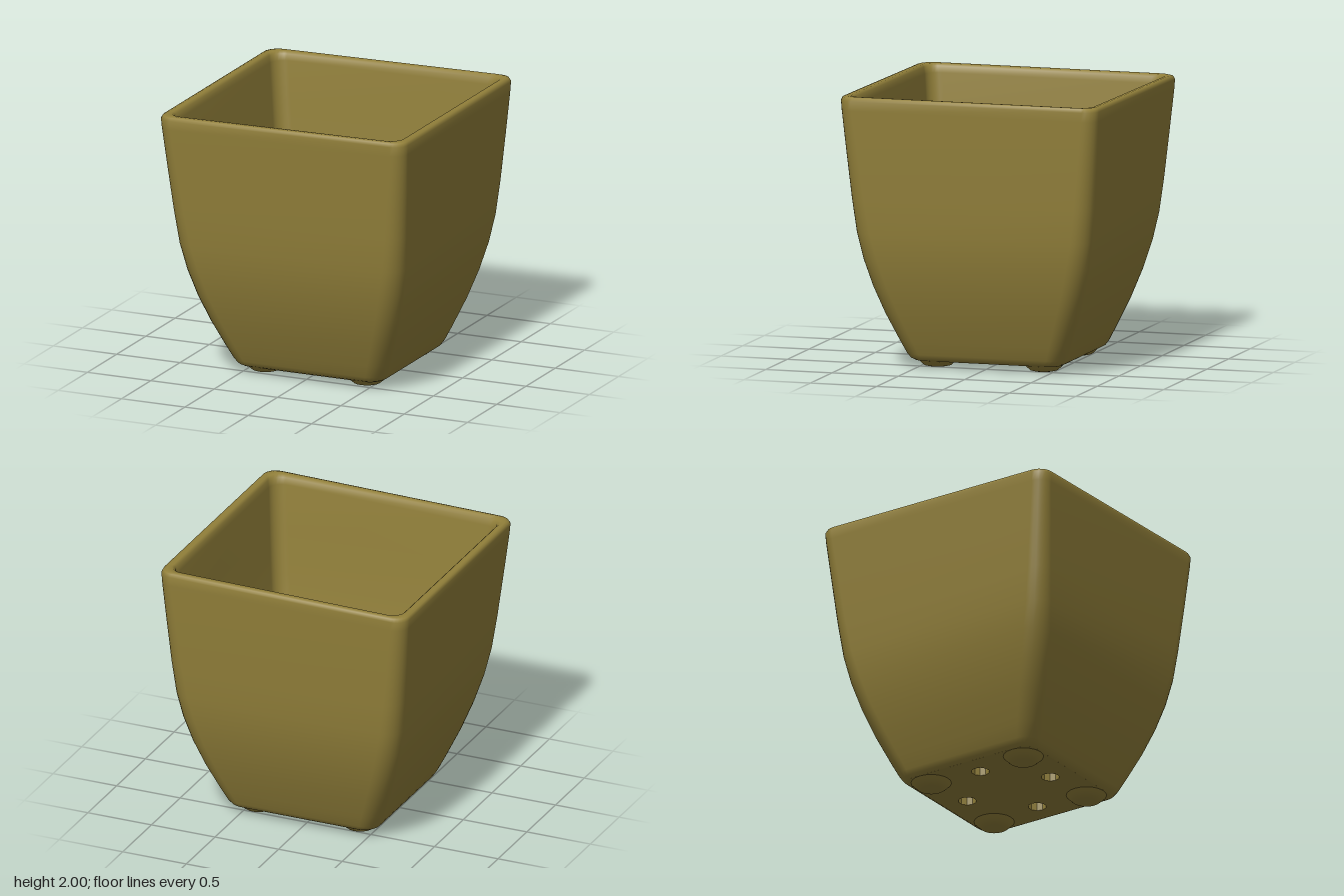
import * as THREE from 'three';

const olive = new THREE.MeshStandardMaterial({ color: 0x92803a });
olive.name = 'olive glaze';

// Points of a square with rounded corners, half width h and corner radius r
function roundedSquare(h, r, steps = 6) {
  const points = [];
  for (let corner = 0; corner < 4; corner++) {
    const mid = Math.PI / 4 + corner * Math.PI / 2;
    const cx = Math.sign(Math.cos(mid)) * (h - r);
    const cy = Math.sign(Math.sin(mid)) * (h - r);
    for (let i = 0; i <= steps; i++) {
      const a = (corner + i / steps) * Math.PI / 2;
      points.push(new THREE.Vector2(cx + r * Math.cos(a), cy + r * Math.sin(a)));
    }
  }
  return points;
}

// Sideways drift of the body towards its foot
const driftX = y => 0.025 * (1 - y / 2);
const driftZ = y => -0.01 * (1 - y / 2);

// Loft rounded squares [y, half width, corner radius] into one smooth skin
function loft(profile) {
  const positions = [], index = [];
  let count = 0;
  for (const [y, h, r] of profile) {
    const ring = roundedSquare(h, r);
    count = ring.length;
    for (const p of ring) {
      const sag = 0.013 * (1 - p.x / 0.97) * Math.pow(y / 2, 4); // rim dips to one side
      positions.push(p.x + driftX(y), y - sag, p.y + driftZ(y));
    }
  }
  for (let i = 0; i < profile.length - 1; i++) {
    for (let j = 0; j < count; j++) {
      const k = (j + 1) % count;
      const a = i * count + j, b = a + count, c = i * count + k, d = c + count;
      index.push(a, b, c, b, d, c);
    }
  }
  const geometry = new THREE.BufferGeometry();
  geometry.setAttribute('position', new THREE.Float32BufferAttribute(positions, 3));
  geometry.setIndex(index);
  geometry.computeVertexNormals();
  return geometry;
}

export function createModel() {
  const pot = new THREE.Group();
  pot.name = 'squarePlanter';
  const add = (name, geometry, x = 0, y = 0, z = 0) => {
    const mesh = new THREE.Mesh(geometry, olive);
    mesh.name = name;
    mesh.position.set(x, y, z);
    pot.add(mesh);
    return mesh;
  };

  // Walls: up the outside, over the rounded rim, down the inside
  add('walls', loft([
    [0.05, 0.55, 0.1], [0.065, 0.578, 0.12], [0.1, 0.6, 0.12], [0.2, 0.645, 0.13],
    [0.4, 0.728, 0.14], [0.6, 0.796, 0.14], [0.8, 0.85, 0.14], [1, 0.886, 0.13],
    [1.25, 0.912, 0.12], [1.6, 0.942, 0.11], [1.9, 0.966, 0.1], [1.97, 0.97, 0.1],
    [1.993, 0.96, 0.1], [2, 0.94, 0.1], [1.997, 0.912, 0.1], [1.98, 0.895, 0.1],
    [1.93, 0.885, 0.1], [1.6, 0.86, 0.1], [1.25, 0.83, 0.1], [1, 0.803, 0.1],
    [0.8, 0.765, 0.1], [0.6, 0.712, 0.1], [0.4, 0.645, 0.1], [0.2, 0.565, 0.1],
    [0.15, 0.54, 0.1], [0.13, 0.5, 0.09],
  ]));

  // Floor slab with four drainage holes
  const floor = new THREE.Shape(roundedSquare(0.55, 0.1));
  for (let i = 0; i < 4; i++) {
    const a = i * Math.PI / 2;
    const hole = new THREE.Path();
    hole.absarc(0.36 * Math.cos(a), 0.36 * Math.sin(a), 0.066, 0, Math.PI * 2, true);
    floor.holes.push(hole);
  }
  const slab = new THREE.ExtrudeGeometry(floor, { depth: 0.08, bevelEnabled: false, curveSegments: 5 });
  slab.rotateX(-Math.PI / 2);
  add('floor', slab, driftX(0), 0.05, driftZ(0));

  // Four low rounded feet under the corners
  const footProfile = [[0, 0], [0.07, 0], [0.1, 0.007], [0.125, 0.028], [0.15, 0.055]]
    .map(([x, y]) => new THREE.Vector2(x, y));
  const foot = new THREE.LatheGeometry(footProfile, 20);
  for (const sx of [-1, 1]) {
    for (const sz of [-1, 1]) {
      add('foot', foot, driftX(0) + sx * 0.4, 0, driftZ(0) + sz * 0.4);
    }
  }
  return pot;
}
